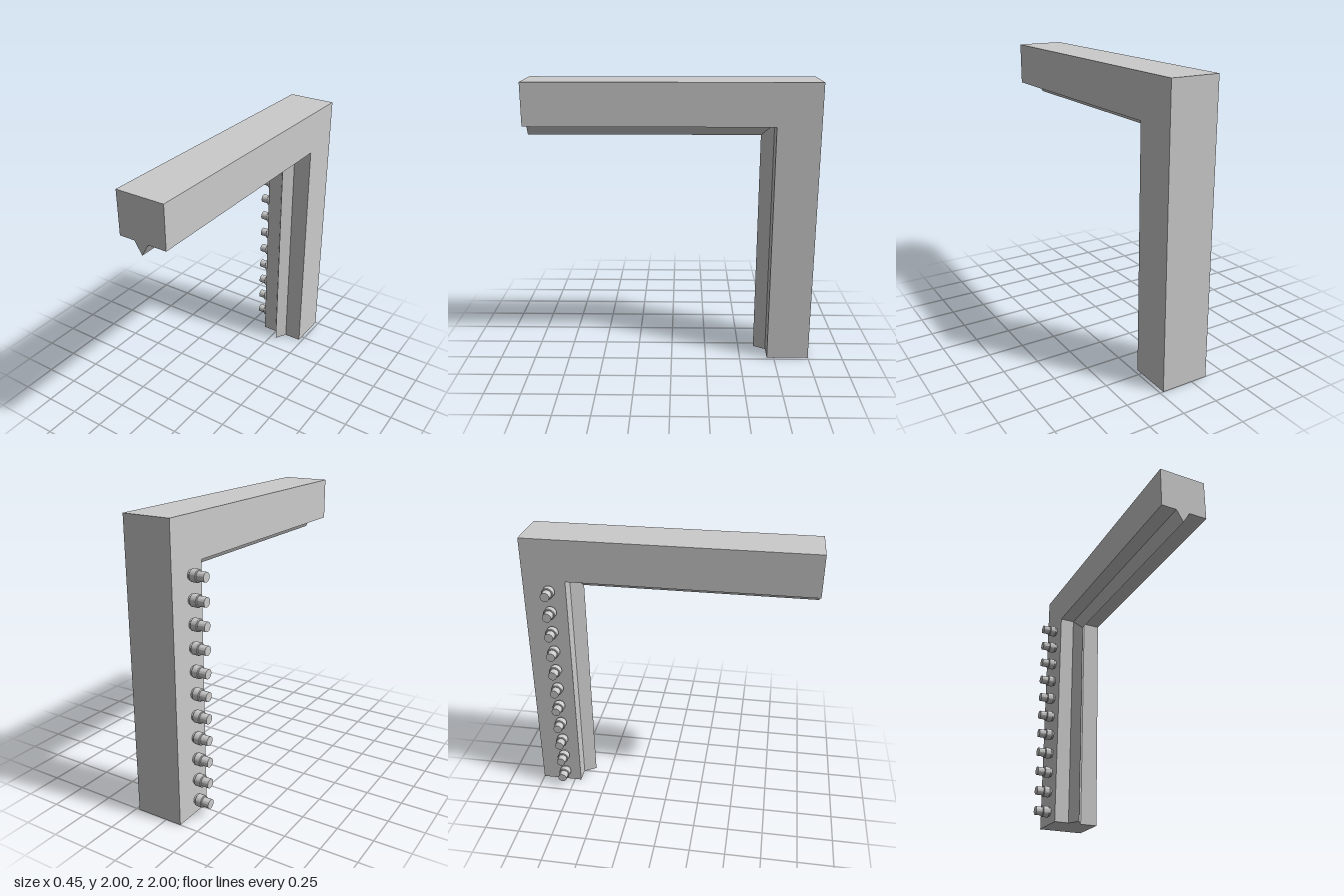
import * as THREE from 'three';
import { toCreasedNormals } from 'three/addons/utils/BufferGeometryUtils.js';

export function createModel() {
  const group = new THREE.Group();
  const mat = new THREE.MeshStandardMaterial({ color: 0xcccccc });
  const add = (name, geometry, parent = group) => {
    const mesh = new THREE.Mesh(geometry, mat);
    mesh.name = name;
    parent.add(mesh);
    return mesh;
  };
  const xMin = -0.115, xMax = 0.225;
  const innerY = 1.705, innerZ = -0.7, ridgeHeight = 0.085;

  // L-shaped frame: side outline (z, y) extruded across x
  const outline = new THREE.Shape([
    [-1, 0], [innerZ, 0], [innerZ, innerY], [1, innerY], [1, 2], [-1, 2],
  ].map(([z, y]) => new THREE.Vector2(z, y)));
  const frame = new THREE.ExtrudeGeometry(outline, { depth: xMax - xMin, bevelEnabled: false });
  frame.rotateY(-Math.PI / 2).translate(xMax, 0, 0);
  add('frame', frame);

  // Triangular ridge, mitred in the inner corner: left base, tip, right base
  const section = (y, z, tipY, tipZ) => [[-0.005, y, z], [0.045, tipY, tipZ], [0.095, y, z]];
  const tipY = innerY - ridgeHeight, tipZ = innerZ + ridgeHeight;
  const sections = [
    section(innerY, 1, tipY, 1),
    section(innerY, innerZ, tipY, tipZ),
    section(0, innerZ, 0, tipZ),
  ];
  const points = [];
  for (let i = 0; i < 2; i++) {
    const a = sections[i], b = sections[i + 1];
    for (let j = 0; j < 2; j++) {
      points.push(a[j], b[j], a[j + 1], a[j + 1], b[j], b[j + 1]);
    }
  }
  points.push(...sections[0], ...sections[2].slice().reverse());
  const ridge = new THREE.BufferGeometry();
  ridge.setAttribute('position', new THREE.Float32BufferAttribute(points.flat(), 3));
  ridge.computeVertexNormals();
  add('ridge', ridge);

  // Stepped pins along the side of the post: neck, chamfered collar, shaft
  const profile = [
    [0.033, 0], [0.033, 0.013], [0.038, 0.013], [0.042, 0.017], [0.042, 0.059],
    [0.038, 0.063], [0.032, 0.063], [0.032, 0.115], [0, 0.115],
  ].map(([r, h]) => new THREE.Vector2(r, h));
  const pin = toCreasedNormals(new THREE.LatheGeometry(profile, 32), 0.5);
  pin.rotateZ(Math.PI / 2);
  const pins = new THREE.Group();
  pins.name = 'pins';
  group.add(pins);
  for (let i = 0; i < 11; i++) {
    add('pin', pin, pins).position.set(xMin, 0.095 + i * 0.154, -0.814);
  }
  return group;
}
